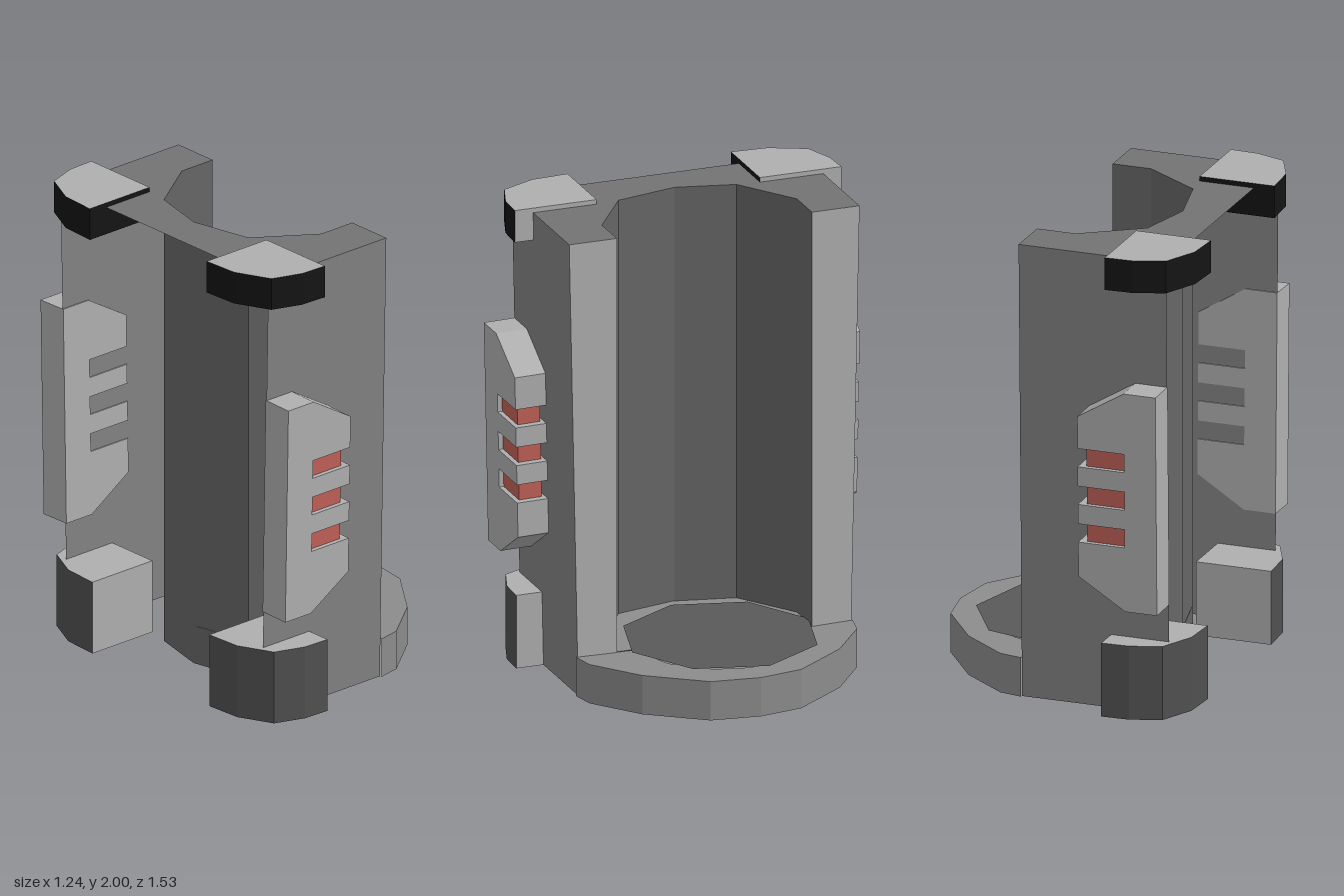
import * as THREE from 'three';

const paint = (color) => new THREE.MeshStandardMaterial({ color, flatShading: true, side: THREE.DoubleSide });
const sideGrey = paint(0x828282);
const bayGrey = paint(0x666666);
const topGrey = paint(0x737373);
const lightGrey = paint(0xafafaf);
const rimGrey = paint(0x8c8c8c);
const floorGrey = paint(0x595959);
const black = paint(0x141414);
const darkGrey = paint(0x505050);
const red = paint(0xc06056);

function fromTriangles(pos) {
  const geo = new THREE.BufferGeometry();
  geo.setAttribute('position', new THREE.Float32BufferAttribute(pos, 3));
  geo.computeVertexNormals();
  return geo;
}

// Wall between a lower and an upper plan outline of [x, z] points
function wall(low, y0, high, y1, closed = false) {
  const pos = [];
  const n = low.length;
  for (let i = 0; i < (closed ? n : n - 1); i++) {
    const j = (i + 1) % n;
    const [a, b, c, d] = [[low[i], y0], [low[j], y0], [high[j], y1], [high[i], y1]];
    for (const [p, y] of [a, b, c, a, c, d]) pos.push(p[0], y, p[1]);
  }
  return fromTriangles(pos);
}

// Flat face filling a plan outline
function cap(pts, y, up = true) {
  const pos = [];
  const flat = pts.map(([x, z]) => new THREE.Vector2(x, -z));
  for (const [a, b, c] of THREE.ShapeUtils.triangulateShape(flat, [])) {
    for (const k of up ? [a, b, c] : [c, b, a]) pos.push(pts[k][0], y, pts[k][1]);
  }
  return fromTriangles(pos);
}

const mirrorZ = (pts) => pts.map(([x, z]) => [x, -z]).reverse();

export function createModel() {
  const model = new THREE.Group();
  const put = (name, geo, mat, parent = model) => {
    const mesh = new THREE.Mesh(geo, mat);
    mesh.name = name;
    parent.add(mesh);
    return mesh;
  };

  // Housing: two leaning side walls and a curved bay open towards +x; hollow at the back
  const height = 1.98;
  const outside = (w) => [[-0.53, w], [0.12, w]];
  const end = (w) => [[0.12, w], [0.12, 0.43]];
  const halfBay = [[0.12, 0.43], [-0.05, 0.43], [-0.3, 0.26]];
  const bay = [...halfBay, [-0.36, -0.01], ...mirrorZ(halfBay)];
  for (const flip of [(p) => p, mirrorZ]) {
    put('sideWall', wall(flip(outside(0.6)), 0, flip(outside(0.64)), height), sideGrey);
    put('wallEnd', wall(flip(end(0.6)), 0, flip(end(0.64)), height), lightGrey);
  }
  put('bay', wall(bay, 0, bay, height), bayGrey);
  put('housingTop', cap([...outside(0.64), ...bay, ...mirrorZ(outside(0.64))], height), topGrey);

  // Round base: upright rim, nearly level ledge, eight-sided floor
  const arc = [[0.12, 0.61], [0.22, 0.59], [0.42, 0.435], [0.59, 0.2]];
  const rim = [...arc, [0.62, -0.01], ...mirrorZ(arc)];
  const ledge = [...rim, ...mirrorZ(bay)];
  const centre = [0.11, -0.03];
  // Ledge points drawn in towards the floor, just under its edge
  const inner = ledge.map(([x, z]) => {
    const a = Math.atan2(z - centre[1], x - centre[0]);
    return [centre[0] + 0.37 * Math.cos(a), centre[1] + 0.37 * Math.sin(a)];
  });
  const octagon = [];
  for (let i = 0; i < 8; i++) {
    const a = 0.14 + i * Math.PI / 4;
    octagon.push([centre[0] + 0.415 * Math.cos(a), centre[1] - 0.415 * Math.sin(a)]);
  }
  put('baseRim', wall(rim, 0, rim, 0.17), rimGrey);
  put('baseLedge', wall(mirrorZ(mirrorZ(ledge)), 0.17, inner, 0.165, true), rimGrey);
  put('baseFloor', cap(octagon, 0.177), floorGrey);

  // Rounded corner pads with a dark outer band; the bottom ones are open underneath
  const padOutline = (dx) => [[-0.62, 0.36], [-0.61, 0.52], [-0.54, 0.67], [-0.41, 0.715], [-0.29, 0.72], [-0.29, 0.36]]
    .map(([x, z]) => [x + dx, z]);
  const addPad = (name, dx, y0, y1, bandMat, innerMat, flip) => {
    const pts = padOutline(dx);
    const group = new THREE.Group();
    group.name = name;
    const strip = (part, points, mat) => put(part, wall(flip(points), y0, flip(points), y1), mat, group);
    strip('padBand', pts.slice(0, 5), bandMat);
    strip('padFrontFace', [pts[4], pts[5]], lightGrey);
    strip('padInnerFace', [pts[5], pts[0]], innerMat);
    put('padTop', cap(flip(pts), y1), lightGrey, group);
    if (y0 > 0) put('padUnderside', cap(flip(pts), y0, false), bandMat, group);
    model.add(group);
  };
  for (const flip of [(p) => p, mirrorZ]) {
    addPad('topPad', 0, 1.86, 2, black, black, flip);
    addPad('bottomPad', 0.015, 0, 0.32, darkGrey, lightGrey, flip);
  }

  // Side plates with three slots cut into their front edge
  const slots = [0.76, 0.925, 1.09];
  const plate = new THREE.Shape();
  plate.moveTo(-0.53, 0.48);
  plate.lineTo(-0.39, 0.48);
  plate.lineTo(-0.185, 0.61);
  for (const y of slots) {
    plate.lineTo(-0.185, y);
    plate.lineTo(-0.39, y);
    plate.lineTo(-0.39, y + 0.08);
    plate.lineTo(-0.185, y + 0.08);
  }
  plate.lineTo(-0.185, 1.31);
  plate.lineTo(-0.39, 1.435);
  plate.lineTo(-0.53, 1.435);
  const plateGeo = new THREE.ExtrudeGeometry(plate, { depth: 0.14, bevelEnabled: false });
  plateGeo.translate(0, 0, -0.07);
  const barGeo = new THREE.BoxGeometry(0.175, 0.08, 0.1);

  for (const side of [1, -1]) {
    const vent = new THREE.Group();
    vent.name = 'sideVent';
    vent.position.z = side * 0.665;
    vent.rotation.x = side * 0.02; // follows the lean of the wall
    put('ventPlate', plateGeo, lightGrey, vent);
    for (const y of slots) {
      put('ventBar', barGeo, red, vent).position.set(-0.305, y + 0.04, 0);
    }
    model.add(vent);
  }
  return model;
}
